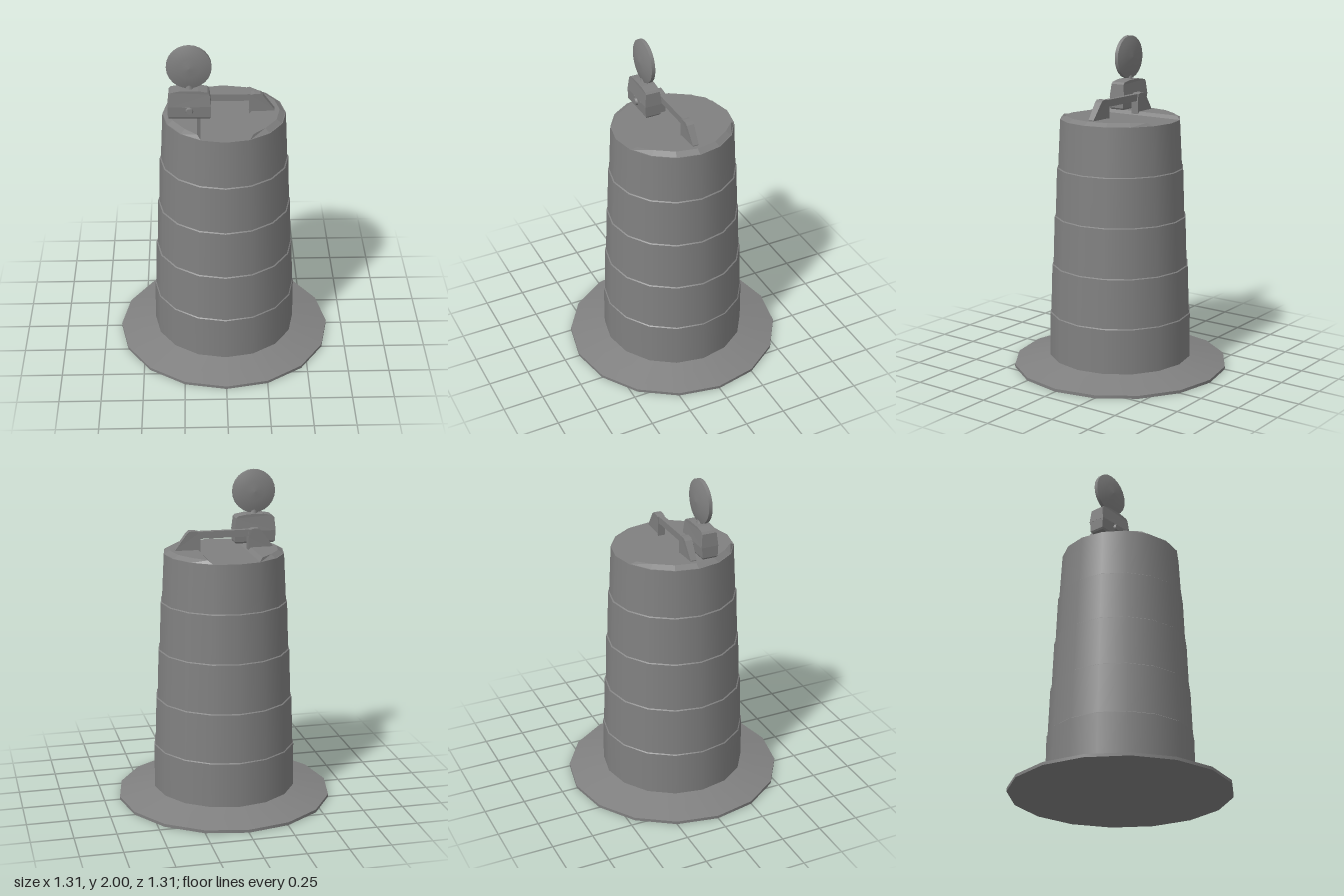
import * as THREE from 'three';

const grey = new THREE.MeshStandardMaterial({ color: 0x808080 });
grey.name = 'grey plastic';
const SIDES = 16;

function add(parent, name, geometry, x = 0, y = 0, z = 0) {
  const mesh = new THREE.Mesh(geometry, grey);
  mesh.name = name;
  mesh.position.set(x, y, z);
  parent.add(mesh);
  return mesh;
}

// open ring wall between two heights
function wall(parent, name, r0, y0, r1, y1) {
  add(parent, name, new THREE.CylinderGeometry(r1, r0, y1 - y0, SIDES, 1, true), 0, (y0 + y1) / 2, 0);
}

// solid skinned through loops of points, closed at both ends by fans
function loft(loops) {
  const n = loops[0].length, pos = [];
  const tri = (a, b, c) => pos.push(...a, ...b, ...c);
  for (let k = 0; k + 1 < loops.length; k++) {
    const a = loops[k], b = loops[k + 1];
    for (let i = 0; i < n; i++) {
      const j = (i + 1) % n;
      tri(a[i], a[j], b[j]);
      tri(a[i], b[j], b[i]);
    }
  }
  const s = loops[0], e = loops[loops.length - 1];
  for (let i = 1; i + 1 < n; i++) {
    tri(s[0], s[i + 1], s[i]);
    tri(e[0], e[i], e[i + 1]);
  }
  const g = new THREE.BufferGeometry();
  g.setAttribute('position', new THREE.Float32BufferAttribute(pos, 3));
  g.computeVertexNormals();
  return g;
}

// horizontal rectangle, ordered counter-clockwise from above
const rect = (hx, y, z0, z1) => [[-hx, y, z1], [hx, y, z1], [hx, y, z0], [-hx, y, z0]];

function extrude(points, depth) {
  const shape = new THREE.Shape(points.map(([x, y]) => new THREE.Vector2(x, y)));
  return new THREE.ExtrudeGeometry(shape, { depth, bevelEnabled: false }).translate(0, 0, -depth / 2);
}

function createBarrel() {
  const barrel = new THREE.Group();
  barrel.name = 'barrel';

  // wide weighted base
  wall(barrel, 'baseRim', 0.655, 0, 0.655, 0.018);
  wall(barrel, 'baseSlope', 0.655, 0.018, 0.425, 0.072);
  add(barrel, 'baseUnderside', new THREE.CircleGeometry(0.655, SIDES).rotateX(Math.PI / 2));

  // stepped, tapering tiers: bottom radius, bottom height, top radius, top height
  const tiers = [
    [0.436, 0.068, 0.434, 0.34],
    [0.428, 0.345, 0.418, 0.64],
    [0.411, 0.645, 0.401, 0.94],
    [0.394, 0.945, 0.384, 1.235],
    [0.377, 1.24, 0.362, 1.53],
  ];
  tiers.forEach(([r0, y0, r1, y1], i) => {
    wall(barrel, 'tier' + (i + 1), r0, y0, r1, y1);
    const next = tiers[i + 1];
    if (next) wall(barrel, 'ledge' + (i + 1), r1, y1, next[0], next[1]);
  });

  // lid with a low middle channel between two raised segments
  add(barrel, 'lid', new THREE.CircleGeometry(0.362, SIDES).rotateX(-Math.PI / 2), 0, 1.53, 0);
  const arc = (r, y, minX) => {
    const loop = [];
    for (let i = -3; i <= 3; i++) {
      const a = (-i * Math.PI) / 8;
      loop.push([Math.max(minX, r * Math.cos(a)), y, r * Math.sin(a)]);
    }
    return loop;
  };
  for (const side of [0, 1]) {
    const segment = add(barrel, side ? 'rightLidRise' : 'leftLidRise',
      loft([arc(0.36, 1.528, 0.13), arc(0.325, 1.55, 0.16)]));
    segment.rotation.y = side * Math.PI;
  }
  return barrel;
}

function createHandle() {
  const handle = new THREE.Group();
  handle.name = 'handle';
  add(handle, 'handleBar', new THREE.BoxGeometry(0.36, 0.042, 0.032), 0, 1.636, -0.003);
  const leg = [[0.145, 1.535], [0.295, 1.535], [0.295, 1.555], [0.225, 1.65],
    [0.21, 1.662], [0.175, 1.662], [0.15, 1.655], [0.145, 1.61]];
  for (const side of [1, -1]) {
    const points = leg.map(([x, y]) => [x * side, y]);
    const mesh = add(handle, side > 0 ? 'leftHandleLeg' : 'rightHandleLeg', extrude(points, 0.046), 0, 0, -0.003);
    // thin the outer end of each foot
    const p = mesh.geometry.attributes.position;
    for (let i = 0; i < p.count; i++) if (Math.abs(p.getX(i)) > 0.28) p.setZ(i, p.getZ(i) * 0.8);
    mesh.geometry.computeVertexNormals();
  }
  return handle;
}

function createLamp() {
  const lamp = new THREE.Group();
  lamp.name = 'warningLamp';
  lamp.position.set(-0.203, 0, 0.083);

  // battery case: lower tray, and lid tapering to an arched top
  add(lamp, 'lampCaseBottom', loft([rect(0.117, 1.562, -0.04, 0.043),
    rect(0.124, 1.572, -0.045, 0.05), rect(0.124, 1.64, -0.05, 0.053)]));
  const arch = [[-0.125, 1.636], [0.125, 1.636], [0.117, 1.715], [0.105, 1.727],
    [0.05, 1.737], [-0.05, 1.737], [-0.105, 1.727], [-0.117, 1.715]];
  const caseLid = add(lamp, 'lampCaseLid', extrude(arch, 0.106));
  const p = caseLid.geometry.attributes.position;
  for (let i = 0; i < p.count; i++) if (p.getY(i) > 1.7) p.setZ(i, p.getZ(i) * 0.84);
  caseLid.geometry.computeVertexNormals();

  // bolt through the case into the handle
  add(lamp, 'lampBolt', new THREE.CylinderGeometry(0.012, 0.012, 0.14, 8).rotateX(Math.PI / 2), 0, 1.615, -0.012);
  add(lamp, 'lampBoltHead', new THREE.CylinderGeometry(0.018, 0.025, 0.018, 12).rotateX(Math.PI / 2), 0, 1.615, 0.056);

  // neck and lens
  add(lamp, 'lampNeck', new THREE.CylinderGeometry(0.014, 0.026, 0.04, 8), 0, 1.752, 0);
  add(lamp, 'lensRim', new THREE.CylinderGeometry(0.13, 0.13, 0.022, 24, 1, true).rotateX(Math.PI / 2), 0, 1.87, 0);
  const dome = [[0.13, 0.011], [0.1, 0.02], [0.06, 0.028], [0, 0.033]].map(([x, y]) => new THREE.Vector2(x, y));
  for (const side of [1, -1]) {
    add(lamp, side > 0 ? 'frontLens' : 'backLens',
      new THREE.LatheGeometry(dome, 24).rotateX((side * Math.PI) / 2), 0, 1.87, 0);
  }
  return lamp;
}

export function createModel() {
  const model = new THREE.Group();
  model.name = 'trafficBarrel';
  model.add(createBarrel(), createHandle(), createLamp());
  return model;
}
